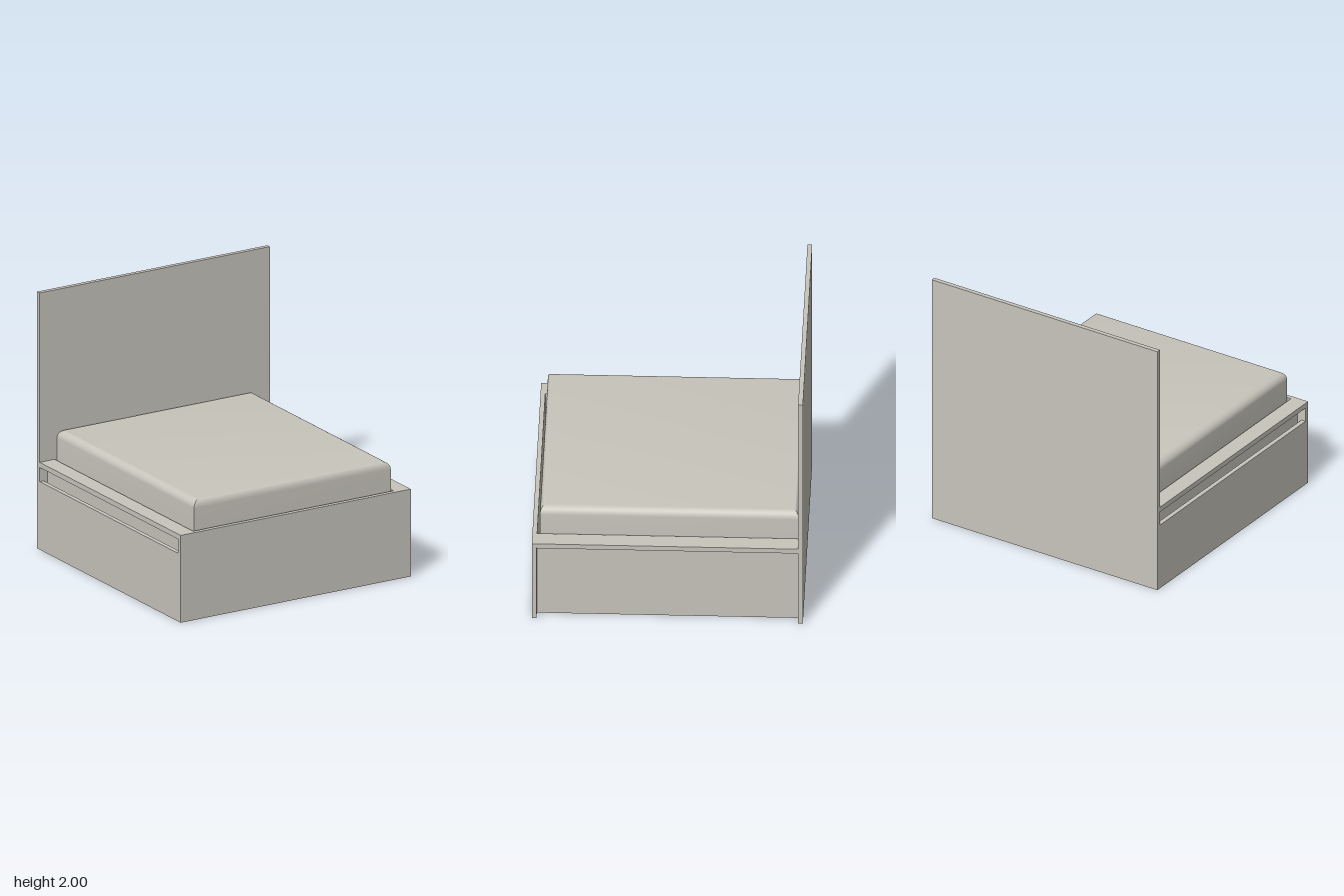
import * as THREE from 'three';
import { toCreasedNormals } from 'three/addons/utils/BufferGeometryUtils.js';

// Mattress: stacked rectangles with a rounded, mitred top edge
function mattressGeometry(x0, x1, y0, y1, z0, z1, insetX, insetZ, drop) {
  const rings = [[0, y0]];
  const steps = 8;
  for (let i = 0; i <= steps; i++) {
    const a = (i / steps) * Math.PI / 2;
    rings.push([1 - Math.cos(a), y1 - drop + drop * Math.sin(a)]);
  }
  const pos = [], index = [];
  for (const [k, y] of rings) {
    const dx = k * insetX, dz = k * insetZ;
    pos.push(x0 + dx, y, z1 - dz, x1 - dx, y, z1 - dz, x1 - dx, y, z0 + dz, x0 + dx, y, z0 + dz);
  }
  for (let r = 0; r < rings.length - 1; r++) {
    for (let j = 0; j < 4; j++) {
      const a = r * 4 + j, b = r * 4 + (j + 1) % 4;
      index.push(a, b, b + 4, a, b + 4, a + 4);
    }
  }
  const t = (rings.length - 1) * 4;
  index.push(t, t + 1, t + 2, t, t + 2, t + 3); // top
  index.push(0, 2, 1, 0, 3, 2); // underside
  const geo = new THREE.BufferGeometry();
  geo.setAttribute('position', new THREE.Float32BufferAttribute(pos, 3));
  geo.setIndex(index);
  return toCreasedNormals(geo, 0.5);
}

export function createModel() {
  const model = new THREE.Group();
  model.name = 'bed';
  const material = new THREE.MeshStandardMaterial({ color: 0xc8c5bc });
  material.name = 'warm grey';

  // Box given by its limits on each axis
  function box(name, x0, x1, y0, y1, z0, z1, parent = model) {
    const mesh = new THREE.Mesh(new THREE.BoxGeometry(x1 - x0, y1 - y0, z1 - z0), material);
    mesh.position.set((x0 + x1) / 2, (y0 + y1) / 2, (z0 + z1) / 2);
    mesh.name = name;
    parent.add(mesh);
  }

  const end = 0.965; // inner faces of headboard and footboard

  // End panels
  box('headboard', -1, 1, 0, 2, -1, -end);
  box('footboard', -1, 1, 0, 0.68, end, 1);

  // Side ledges with the recessed panel and rail below them
  box('leftLedge', 0.87, 1, 0.64, 0.68, -end, end);
  box('rightLedge', -1, -0.87, 0.64, 0.68, -end, end);
  box('leftSidePanel', 0.87, 0.93, 0, 0.64, -end, end);
  box('rightSideRail', -0.93, -0.87, 0.4, 0.64, -end, end);

  // Mattress set into the frame
  const mattress = new THREE.Mesh(
    mattressGeometry(-0.85, 0.86, 0.53, 0.905, -end, 0.945, 0.06, 0.035, 0.06), material);
  mattress.name = 'mattress';
  model.add(mattress);

  // Two open drawers on the right side, low fronts leave a grip gap
  const w = 0.02, back = 0.16, face = -0.965, height = 0.35;
  for (const [name, z0, z1] of [['rearDrawer', -0.96, -0.002], ['frontDrawer', 0.002, 0.96]]) {
    const drawer = new THREE.Group();
    drawer.name = name;
    box('drawerBottom', face, back, 0, w, z0, z1, drawer);
    box('drawerInnerWall', back - w, back, w, height, z0, z1, drawer);
    box('drawerRearWall', face, back - w, w, height, z0, z0 + w, drawer);
    box('drawerFrontWall', face, back - w, w, height, z1 - w, z1, drawer);
    const rear = z0 < -0.5;
    box('drawerFace', -1, face, 0, 0.53, rear ? -end : 0, rear ? 0 : end, drawer);
    model.add(drawer);
  }

  return model;
}
